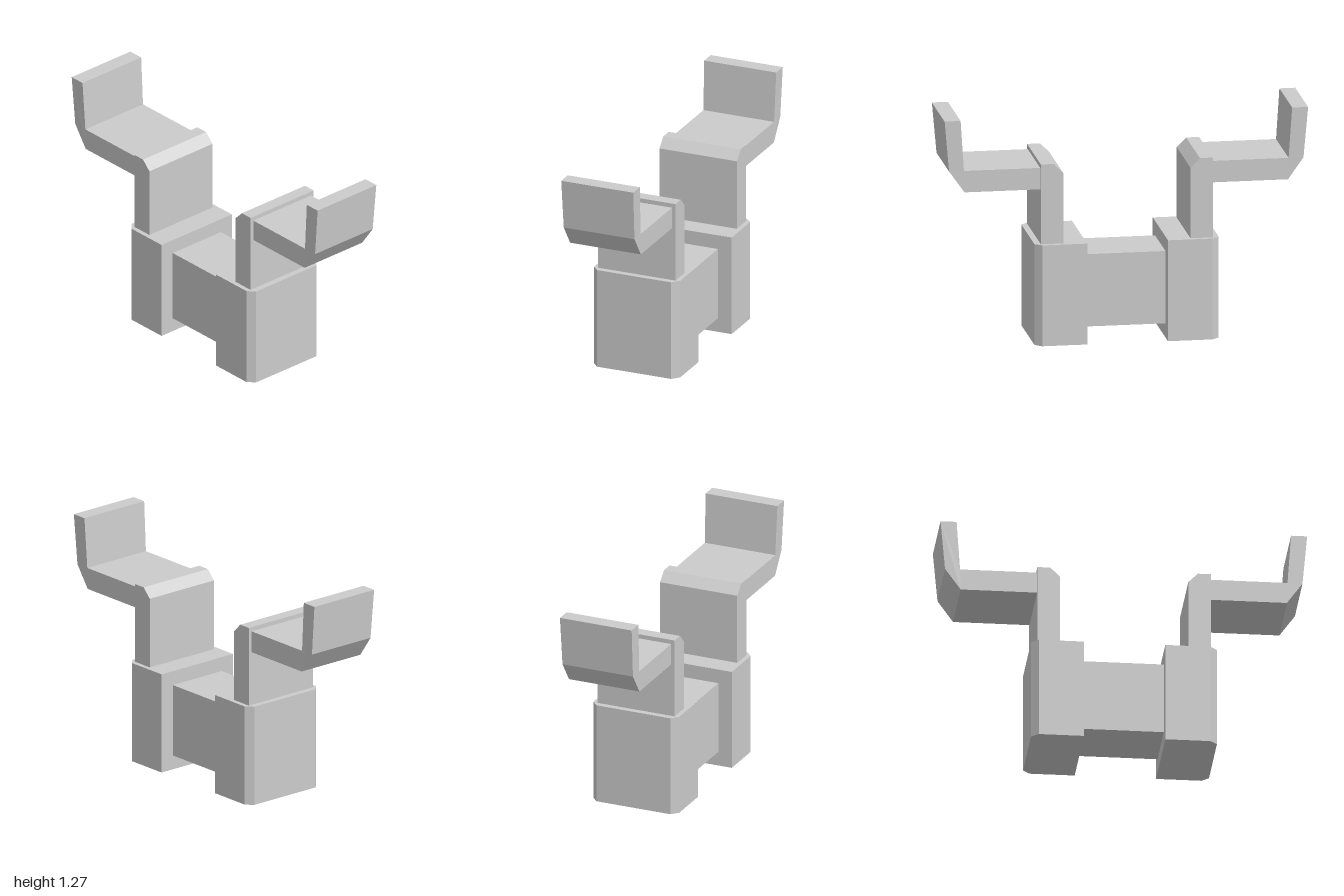
import * as THREE from 'three';

const material = new THREE.MeshStandardMaterial({ color: 0xcccccc, flatShading: true });

// Prism from an outline; side = -1 mirrors it across x.
function prism(points, depth, side) {
  const shape = new THREE.Shape(points.map(([x, y]) => new THREE.Vector2(x * side, y)));
  return new THREE.ExtrudeGeometry(shape, { depth, bevelEnabled: false });
}

function part(name, geometry) {
  const mesh = new THREE.Mesh(geometry, material);
  mesh.name = name;
  return mesh;
}

export function createModel() {
  const model = new THREE.Group();
  model.name = 'doubleArmBracket';

  // Central beam joining the two blocks
  const beam = part('crossBeam', new THREE.BoxGeometry(0.445, 0.405, 0.35));
  beam.position.set(0, 0.2825, 0);
  model.add(beam);

  for (const side of [1, -1]) {
    const half = new THREE.Group();
    half.name = side > 0 ? 'leftSide' : 'rightSide';

    // Base block, outer vertical edges chamfered
    const block = prism([
      [0.222, -0.256], [0.468, -0.256], [0.507, -0.22],
      [0.507, 0.22], [0.468, 0.256], [0.222, 0.256],
    ], 0.565, side).rotateX(-Math.PI / 2);
    half.add(part('baseBlock', block));

    // Upright post, inner top edge chamfered
    const post = prism([
      [0.35, 0.565], [0.473, 0.565], [0.473, 1.012], [0.402, 1.012], [0.35, 0.96],
    ], 0.46, side).translate(0, 0, -0.23);
    half.add(part('post', post));

    // Outward arm with upturned end, flaring slightly in depth at the tip
    const arm = prism([
      [0.473, 0.868], [0.89, 0.868], [0.975, 0.988], [1, 1.27],
      [0.912, 1.27], [0.893, 0.988], [0.473, 0.988],
    ], 0.42, side).translate(0, 0, -0.21);
    const p = arm.attributes.position;
    for (let i = 0; i < p.count; i++) {
      if (p.getY(i) > 1.2) p.setZ(i, Math.sign(p.getZ(i)) * 0.214);
    }
    arm.computeVertexNormals();
    half.add(part('arm', arm));

    model.add(half);
  }
  return model;
}
